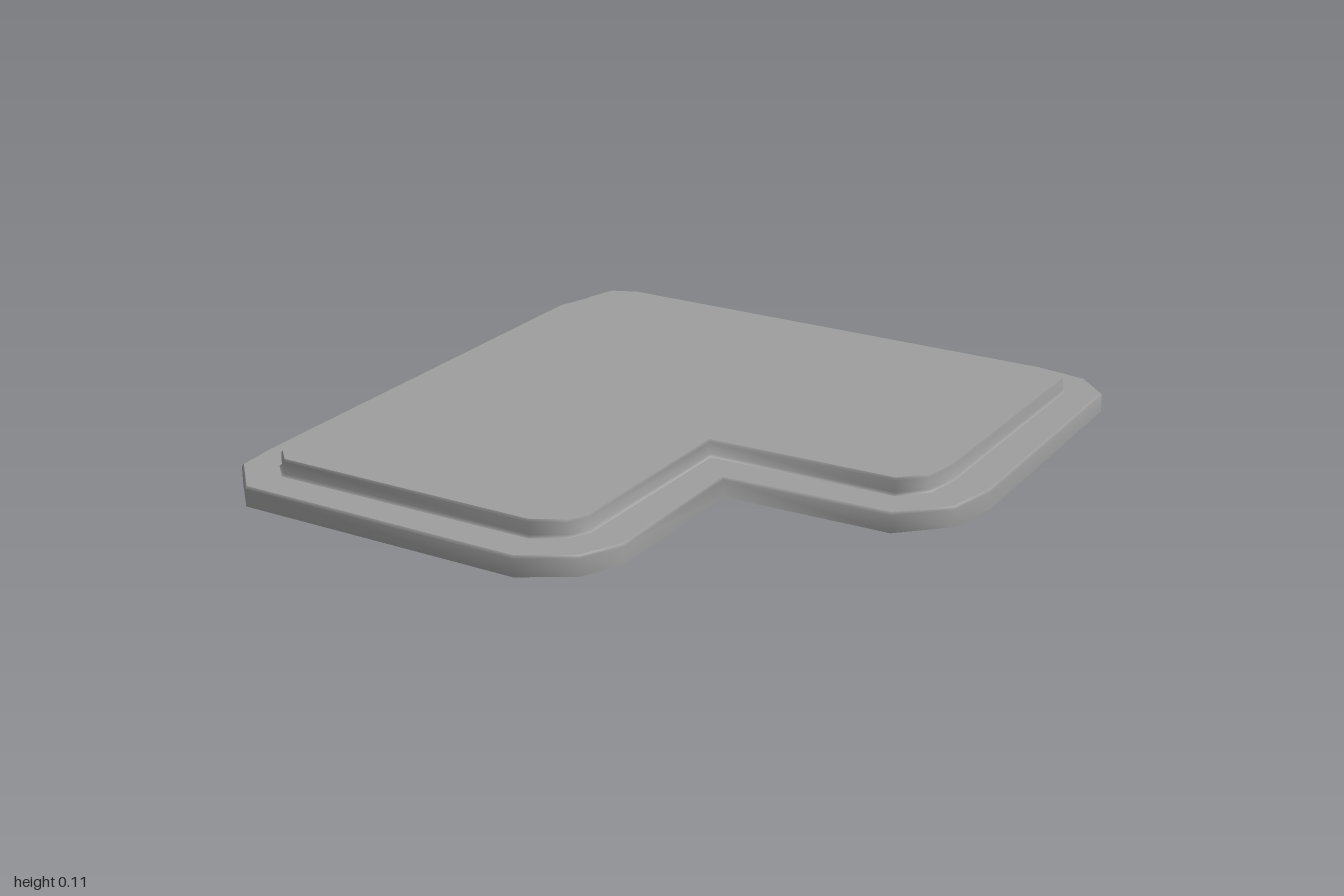
import * as THREE from 'three';

// Plan outlines (x, z), clockwise from above, with matching corners
const OUTER = [
  [-0.95, -0.75], [-0.895, -0.92], [-0.75, -1], [0.75, -1], [0.845, -0.985], [0.94, -0.89],
  [0.95, -0.03], [0.915, 0.13], [0.785, 0.255], [0.275, 0.27], [0.275, 0.79], [0.215, 0.91],
  [0.07, 1], [-0.825, 1], [-0.94, 0.88], [-0.95, 0.75],
];
const INNER = [
  [-0.83, -0.75], [-0.8, -0.845], [-0.72, -0.88], [0.735, -0.88], [0.79, -0.87], [0.83, -0.84],
  [0.83, -0.04], [0.81, 0.07], [0.74, 0.14], [0.165, 0.155], [0.155, 0.77], [0.125, 0.83],
  [0.04, 0.88], [-0.78, 0.885], [-0.83, 0.835], [-0.83, 0.75],
];
const material = new THREE.MeshStandardMaterial({ color: 0x9e9e9e, side: THREE.DoubleSide });

// Ring of points at height y, blended from the outer (t = 0) to the inner outline (t = 1)
const ring = ([t, y]) => OUTER.map(([x, z], i) => [
  x + (INNER[i][0] - x) * t, y, z + (INNER[i][1] - z) * t,
]);

function makeMesh(name, points, index) {
  const geometry = new THREE.BufferGeometry();
  geometry.setAttribute('position', new THREE.Float32BufferAttribute(points.flat(), 3));
  geometry.setIndex(index);
  geometry.computeVertexNormals();
  const mesh = new THREE.Mesh(geometry, material);
  mesh.name = name;
  return mesh;
}

// Smooth band through a stack of [t, y] rings
function band(name, profile) {
  const n = OUTER.length;
  const index = [];
  for (let r = 0; r + 1 < profile.length; r++) {
    for (let i = 0; i < n; i++) {
      const a = r * n + i, b = r * n + (i + 1) % n;
      index.push(a, a + n, b + n, a, b + n, b);
    }
  }
  return makeMesh(name, profile.flatMap(ring), index);
}

// Flat lid over one ring, every triangle facing up
function lid(name, level) {
  const points = ring(level);
  const flat = points.map(([x, , z]) => new THREE.Vector2(x, -z));
  const index = THREE.ShapeUtils.triangulateShape(flat, []).flatMap(([a, b, c]) =>
    THREE.ShapeUtils.area([flat[a], flat[b], flat[c]]) > 0 ? [a, b, c] : [a, c, b]);
  return makeMesh(name, points, index);
}

export function createModel() {
  const group = new THREE.Group();
  group.name = 'steppedSlab';
  group.add(
    // Outer wall with an eased top edge, open underneath
    band('skirt', [[0, 0], [0, 0.052], [0.05, 0.06]]),
    band('ledge', [[0.05, 0.06], [0.93, 0.06]]),
    // Wall of the raised panel with a small fillet at its foot
    band('riser', [[0.93, 0.06], [0.99, 0.067], [1, 0.102], [1.03, 0.11]]),
    lid('topPanel', [1.03, 0.11]),
  );
  return group;
}
